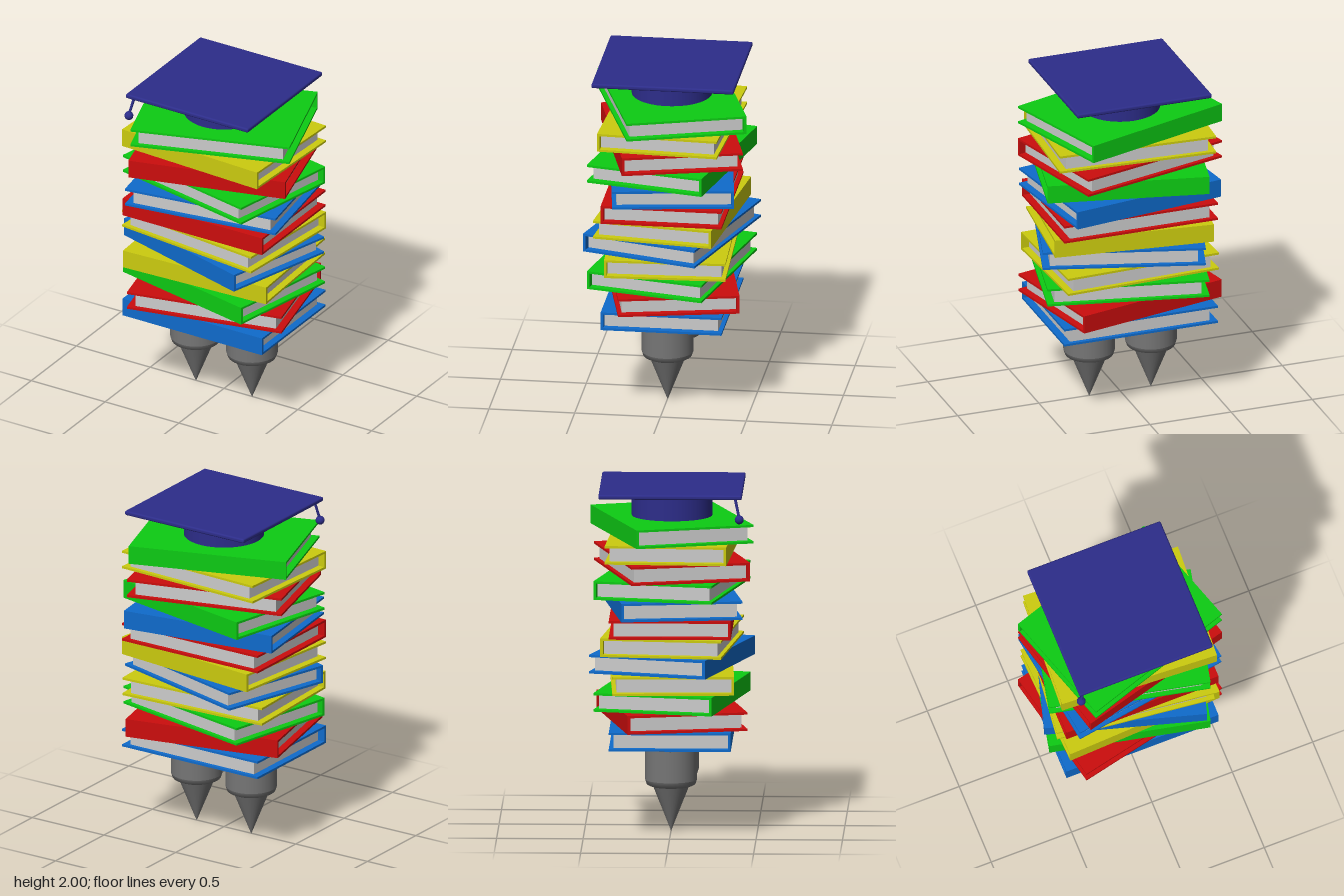
import * as THREE from 'three';
import { RoundedBoxGeometry } from 'three/addons/geometries/RoundedBoxGeometry.js';

const mat = (name, color) => {
  const m = new THREE.MeshStandardMaterial({ color });
  m.name = name;
  return m;
};

export function createModel() {
  const blue = mat('blue cover', 0x0f6bcc);
  const red = mat('red cover', 0xcc0d0d);
  const green = mat('green cover', 0x0dcc14);
  const yellow = mat('yellow cover', 0xcccc0f);
  const paper = mat('paper', 0xcccccc);
  const navy = mat('navy cap', 0x2d2d8a);
  const grey = mat('grey metal', 0x767676);

  const model = new THREE.Group();
  const add = (parent, name, geometry, material, x = 0, y = 0, z = 0) => {
    const mesh = new THREE.Mesh(geometry, material);
    mesh.name = name;
    mesh.position.set(x, y, z);
    parent.add(mesh);
    return mesh;
  };

  // Pointed feet: a cone tip emerging from a chamfered sleeve
  for (const side of [-1, 1]) {
    const foot = new THREE.Group();
    foot.name = side > 0 ? 'leftFoot' : 'rightFoot';
    foot.position.x = side * 0.19;
    const tip = new THREE.CylinderGeometry(0.108, 0.001, 0.27, 32);
    add(foot, 'footTip', tip, grey, 0, 0.135);
    const profile = [[0, 0.263], [0.12, 0.263], [0.12, 0.263], [0.141, 0.273], [0.15, 0.3], [0.15, 0.3], [0.15, 0.495]];
    add(foot, 'footSleeve', new THREE.LatheGeometry(profile.map(([r, y]) => new THREE.Vector2(r, y)), 32), grey);
    model.add(foot);
  }

  // Oval plate joining the feet to the stack
  const plate = add(model, 'basePlate', new THREE.CylinderGeometry(0.375, 0.365, 0.021, 48), grey, 0, 0.4975);
  plate.scale.z = 0.62;

  // Books: spine on local +z, open fore edge on -z
  const W = 0.945, D = 0.705, H = 0.1088, PITCH = 0.1092, COVER = 0.013, SPINE = 0.016;
  const coverGeo = new THREE.BoxGeometry(W, COVER, D);
  const spineGeo = new THREE.BoxGeometry(W, H - 2 * COVER, SPINE);
  const pagesGeo = new THREE.BoxGeometry(W - 0.086, H - 2 * COVER, D - SPINE - 0.025);
  // Cover colour, turn in degrees, and whether the spine faces the back
  const books = [
    [blue, 0, false], [red, 12.5, true], [green, -12.2, false], [yellow, 2.5, false],
    [blue, -16.3, false], [yellow, -6.5, true], [red, 0, false], [blue, 8.5, true],
    [green, -12.2, true], [red, 15, false], [yellow, -3, false], [green, 18, true],
  ];
  books.forEach(([cover, turn, spineBack], i) => {
    const book = new THREE.Group();
    book.name = `book${i + 1}`;
    book.position.y = 0.508 + i * PITCH;
    book.rotation.y = THREE.MathUtils.degToRad(turn + (spineBack ? 180 : 0));
    add(book, 'lowerCover', coverGeo, cover, 0, COVER / 2);
    add(book, 'upperCover', coverGeo, cover, 0, H - COVER / 2);
    add(book, 'spine', spineGeo, cover, 0, H / 2, (D - SPINE) / 2);
    add(book, 'pages', pagesGeo, paper, 0, H / 2, (0.025 - SPINE) / 2);
    model.add(book);
  });

  // Graduation cap: round crown, square board and hanging tassel
  const cap = new THREE.Group();
  cap.name = 'cap';
  add(cap, 'capCrown', new THREE.CylinderGeometry(0.233, 0.233, 0.16, 48), navy, 0, 1.898);
  add(cap, 'capBoard', new RoundedBoxGeometry(0.83, 0.027, 0.83, 2, 0.01), navy, 0, 1.9865);
  const cord = new THREE.LineCurve3(new THREE.Vector3(-0.375, 1.98, 0.375), new THREE.Vector3(-0.4, 1.863, 0.4));
  add(cap, 'tasselCord', new THREE.TubeGeometry(cord, 1, 0.008, 10), navy);
  add(cap, 'tasselBall', new THREE.SphereGeometry(0.026, 20, 14), navy, -0.4, 1.857, 0.4);
  model.add(cap);

  return model;
}
